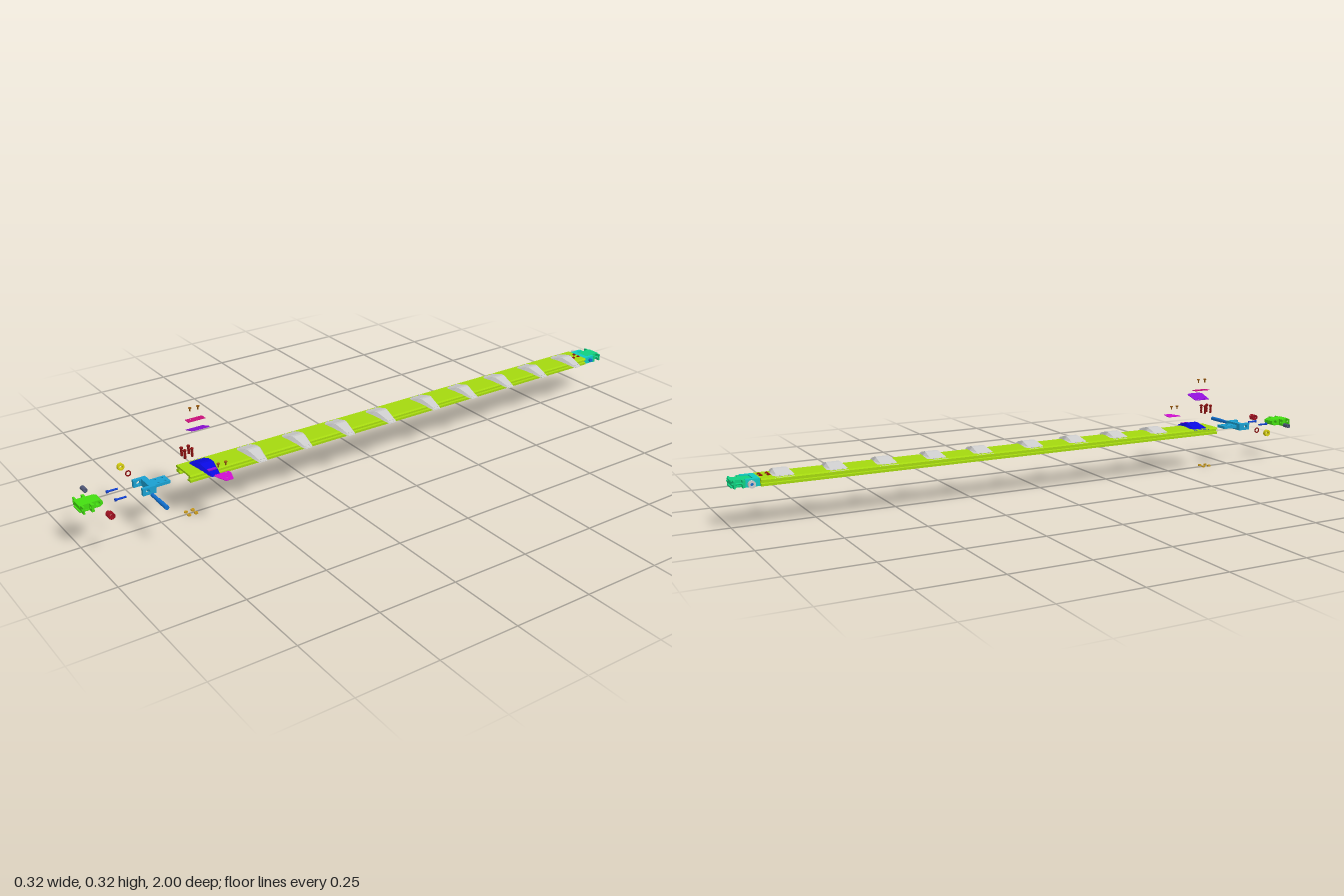
import * as THREE from 'three';

const Y = 0.133; // height of the rail axis
const mat = (color) => new THREE.MeshStandardMaterial({ color, side: THREE.DoubleSide, flatShading: false });
const C = {
  rail: mat(0xa4d80f), grey: mat(0xcccccc), lime: mat(0x44dd11), cyan: mat(0x1a9fd0), teal: mat(0x10c9c0),
  mint: mat(0x10d080), blue: mat(0x0a0ae0), rod: mat(0x1070d0), pin: mat(0x1040d0), red: mat(0x8a1010),
  coil: mat(0xa01020), slate: mat(0x505878), yellow: mat(0xd8d010), brown: mat(0x9a5a10), gold: mat(0xd0a020),
  purple: mat(0x9010d8), magenta: mat(0xd010d0), pink: mat(0xc8107a),
};

export function createModel() {
  const root = new THREE.Group();
  const add = (name, geo, m, x = 0, y = 0, z = 0, parent = root) => {
    const o = new THREE.Mesh(geo, m);
    o.name = name;
    o.position.set(x, y, z);
    parent.add(o);
    return o;
  };
  const group = (name, x, y, z, parent = root) => {
    const g = new THREE.Group();
    g.name = name;
    g.position.set(x, y, z);
    parent.add(g);
    return g;
  };
  const box = (name, m, x0, x1, y0, y1, z0, z1, parent) =>
    add(name, new THREE.BoxGeometry(x1 - x0, y1 - y0, z1 - z0), m, (x0 + x1) / 2, (y0 + y1) / 2, (z0 + z1) / 2, parent);
  // Cylinder along an axis
  const cyl = (name, m, r, len, axis, x, y, z, parent, sides = 20) => {
    const g = new THREE.CylinderGeometry(r, r, len, sides);
    if (axis === 'x') g.rotateZ(Math.PI / 2);
    if (axis === 'z') g.rotateX(Math.PI / 2);
    return add(name, g, m, x, y, z, parent);
  };
  const shapeOf = (pts) => new THREE.Shape(pts.map(([x, y]) => new THREE.Vector2(x, y)));
  const hole = (shape, x, y, r) => shape.holes.push(new THREE.Path().absarc(x, y, r, 0, Math.PI * 2, true));
  const extrude = (shape, depth) => new THREE.ExtrudeGeometry(shape, { depth, bevelEnabled: false, curveSegments: 12 });

  // Rail: channel section with grooved sides and a slot underneath
  const rail = extrude(shapeOf([
    [-0.046, 0.145], [0.038, 0.145], [0.042, 0.141], [0.042, 0.138], [0.035, 0.137], [0.035, 0.131], [0.042, 0.13],
    [0.042, 0.123], [0.022, 0.123], [0.022, 0.127], [0.03, 0.129], [0.03, 0.139], [-0.034, 0.139], [-0.034, 0.129],
    [-0.026, 0.127], [-0.026, 0.123], [-0.05, 0.123], [-0.05, 0.13], [-0.042, 0.131], [-0.042, 0.137],
    [-0.05, 0.138], [-0.05, 0.141],
  ]), 1.587);
  add('rail', rail, C.rail, 0, 0, -0.92);

  // Clip: folded sheet, each station is x, ridge height, half width, edge drop
  const clipStations = [
    [-0.05, 0.143, 0.031, 0.001], [-0.03, 0.148, 0.032, 0.003], [0.002, 0.158, 0.031, 0.01], [0.014, 0.159, 0.028, 0.012],
    [0.045, 0.151, 0.021, 0.008], [0.068, 0.144, 0.016, 0.004], [0.075, 0.14, 0.011, 0.001],
  ];
  const clipGeometry = () => {
    const pos = [], idx = [], n = 4;
    for (const [x, y, w, d] of clipStations)
      for (const s of [-1, -0.7, 0.7, 1]) pos.push(x, Math.abs(s) === 1 ? y - d : y, s * w);
    for (let i = 0; i < clipStations.length - 1; i++)
      for (let j = 0; j < n - 1; j++) {
        const a = i * n + j;
        idx.push(a, a + 1, a + n, a + 1, a + n + 1, a + n);
      }
    const g = new THREE.BufferGeometry();
    g.setAttribute('position', new THREE.Float32BufferAttribute(pos, 3));
    g.setIndex(idx);
    const flat = g.toNonIndexed();
    flat.computeVertexNormals();
    return flat;
  };
  const clip = clipGeometry();
  for (const z of [-0.85, -0.69, -0.535, -0.375, -0.217, -0.037, 0.122, 0.28, 0.44]) {
    const g = group('clip', 0, 0, z);
    add('clipSheet', clip, C.grey, 0, 0, 0, g);
    box('clipTip', C.grey, 0.06, 0.073, 0.138, 0.142, -0.011, 0.011, g);
    for (const s of [-1, 1]) {
      cyl('clipScrew', C.grey, 0.003, 0.002, 'y', -0.042, 0.146, s * 0.013, g, 10);
      cyl('tipScrew', C.grey, 0.002, 0.002, 'y', 0.066, 0.145, s * 0.006, g, 10);
    }
  }

  // Separated clip with its plates and screws
  const ez = 0.6;
  add('openClip', clip, C.blue, 0, 0, ez);
  box('clipPad', C.purple, -0.004, 0.004, -0.009, 0.009, -0.014, 0.014, group('clipPadMount', 0.048, 0.144, ez)).rotation.z = -0.22;
  const plate = (name, m, pts, holes, x, y, tilt) => {
    const s = shapeOf(pts);
    holes.forEach(([hx, hy]) => hole(s, hx, hy, 0.0025));
    const g = extrude(s, 0.0015);
    g.rotateX(-Math.PI / 2);
    add(name, g, m, x, y, ez).rotation.z = tilt;
  };
  plate('slopedPlate', C.purple, [[0, -0.028], [0.046, -0.03], [0.053, -0.02], [0.053, 0.02], [0.046, 0.03], [0, 0.028]],
    [[0.008, -0.013], [0.008, 0.013]], -0.05, 0.246, 0.3);
  plate('clampPlate', C.pink, [[0, -0.028], [0.022, -0.028], [0.022, 0.028], [0, 0.028]],
    [[0.008, -0.013], [0.008, 0.013]], -0.05, 0.278, 0);
  plate('taperPlate', C.magenta, [[0, -0.024], [0.015, -0.024], [0.05, -0.012], [0.05, 0.012], [0.015, 0.024], [0, 0.024]],
    [[0.006, -0.012], [0.006, 0.012], [0.032, 0]], 0.108, 0.162, 0);
  const screwProfile = [[0, 0], [0.002, 0], [0.002, 0.007], [0.005, 0.01], [0.005, 0.012], [0, 0.012]];
  const screw = new THREE.LatheGeometry(screwProfile.map(([x, y]) => new THREE.Vector2(x, y)), 12);
  for (const s of [-1, 1]) {
    add('clampScrew', screw, C.brown, -0.043, 0.305, ez + s * 0.013);
    add('plateScrew', screw, C.brown, 0.114, 0.188, ez + s * 0.012);
  }

  // Threaded bolts and nuts
  const thread = [[0, 0]];
  for (let i = 0; i < 8; i++) thread.push([0.003, i * 0.003], [0.0042, i * 0.003 + 0.0015]);
  thread.push([0.003, 0.024], [0.0055, 0.024], [0.0055, 0.027], [0.003, 0.029], [0, 0.029]);
  const bolt = new THREE.LatheGeometry(thread.map(([x, y]) => new THREE.Vector2(x, y)), 14);
  const nutShape = shapeOf([...Array(6).keys()].map((i) => [0.006 * Math.cos(i * Math.PI / 3), 0.006 * Math.sin(i * Math.PI / 3)]));
  hole(nutShape, 0, 0, 0.003);
  const nut = extrude(nutShape, 0.005);
  nut.rotateX(-Math.PI / 2);
  for (const x of [-0.01, 0.012])
    for (const z of [0.642, 0.665]) {
      add('bolt', bolt, C.red, x, 0.189, z);
      add('nut', nut, C.gold, x, 0, z);
      add('fittedBolt', bolt, C.red, x, 0.12, z - 1.553);
      add('fittedNut', nut, C.gold, x, 0.118, z - 1.553);
    }

  // Fork bracket, outer face of its arms at local z = 0
  const bracket = (m, z, turn) => {
    const g = group('forkBracket', 0, Y, z);
    g.rotation.y = turn;
    const stem = shapeOf([[-0.02, 0.04], [0.02, 0.04], [0.02, 0.095], [-0.02, 0.095]]);
    for (const x of [-0.011, 0.011]) for (const y of [0.06, 0.082]) hole(stem, x, y, 0.004);
    const tongue = extrude(stem, 0.009);
    tongue.rotateX(-Math.PI / 2);
    add('tongue', tongue, m, 0, -0.004, 0, g);
    box('crossbar', m, -0.037, 0.037, -0.011, 0.012, -0.042, -0.024, g);
    for (const s of [-1, 1]) {
      const a = shapeOf([[0, -0.011], [0.03, -0.011], [0.03, 0.012], [0, 0.012]]);
      hole(a, 0.016, 0, 0.0065);
      const arm = extrude(a, 0.011);
      arm.rotateY(Math.PI / 2);
      add('arm', arm, m, s * 0.0315 - 0.0055, 0, 0, g);
    }
  };
  bracket(C.cyan, 0.815, 0);
  bracket(C.teal, -0.962, Math.PI);

  // Jaw, outer end at local z = 0
  const jaw = (m, z, turn) => {
    const g = group('jaw', 0, Y, z);
    g.rotation.y = turn;
    const face = shapeOf([[-0.038, -0.012], [0.038, -0.012], [0.038, 0.01], [-0.038, 0.01]]);
    for (const x of [-0.03, 0.03]) hole(face, x, 0, 0.0045);
    add('jawPlate', extrude(face, 0.008), m, 0, 0, -0.038, g);
    add('jawFace', extrude(face, 0.005), m, 0, 0, -0.01, g);
    box('jawWeb', m, -0.022, 0.022, -0.006, 0.006, -0.03, -0.01, g);
    box('jawTopLip', m, -0.022, 0.022, 0.006, 0.01, -0.03, 0, g);
    box('jawBottomLip', m, -0.022, 0.022, -0.012, -0.008, -0.03, 0, g);
    const lug = shapeOf([[0.036, -0.011], [0.06, -0.011], [0.07, -0.005], [0.07, 0.005], [0.06, 0.01], [0.036, 0.01]]);
    hole(lug, 0.056, 0, 0.0065);
    const lugGeo = extrude(lug, 0.042);
    lugGeo.rotateY(Math.PI / 2);
    add('jawLug', lugGeo, m, -0.021, 0, 0, g);
  };
  jaw(C.lime, 1, 0);
  jaw(C.mint, -1, Math.PI);

  // Guide pins
  for (const x of [-0.03, 0.029]) {
    cyl('guidePin', C.pin, 0.003, 0.034, 'z', x, Y, 0.88);
    cyl('guidePinHead', C.pin, 0.0045, 0.005, 'z', x, Y, 0.895);
    cyl('fittedPin', C.mint, 0.003, 0.05, 'z', x, Y, -0.975);
  }

  // Pivot rod, cap, washer, bushing and spring
  cyl('pivotRod', C.rod, 0.0065, 0.055, 'x', 0.1255, 0.132, 0.797);
  cyl('pivotRodEnd', C.rod, 0.0055, 0.04, 'x', 0.08, 0.132, 0.797);
  const ring = (name, m, r, inner, w, x, z, tilt = 0) => {
    const s = new THREE.Shape().absarc(0, 0, r, 0, Math.PI * 2);
    hole(s, 0, 0, inner);
    const g = extrude(s, w);
    g.rotateY(Math.PI / 2);
    add(name, g, m, x, 0.132, z).rotation.z = tilt;
  };
  ring('capNut', C.yellow, 0.011, 0.0055, 0.01, -0.16, 0.797);
  ring('lockWasher', C.red, 0.0095, 0.006, 0.0025, -0.103, 0.797, 0.08);
  ring('bushing', C.slate, 0.007, 0.004, 0.024, -0.097, 0.942);
  const coil = [];
  for (let i = 0; i <= 80; i++) {
    const a = i / 80 * Math.PI * 10;
    coil.push(new THREE.Vector3(0.088 + i / 80 * 0.024, 0.132 + 0.0085 * Math.cos(a), 0.942 + 0.0085 * Math.sin(a)));
  }
  add('spring', new THREE.TubeGeometry(new THREE.CatmullRomCurve3(coil), 160, 0.0016, 6), C.coil);

  // Fitted pivot at the far end
  cyl('fittedRod', C.rod, 0.0065, 0.09, 'x', -0.002, 0.132, -0.947);
  ring('fittedCap', C.grey, 0.011, 0.005, 0.01, -0.053, -0.947);
  return root;
}
